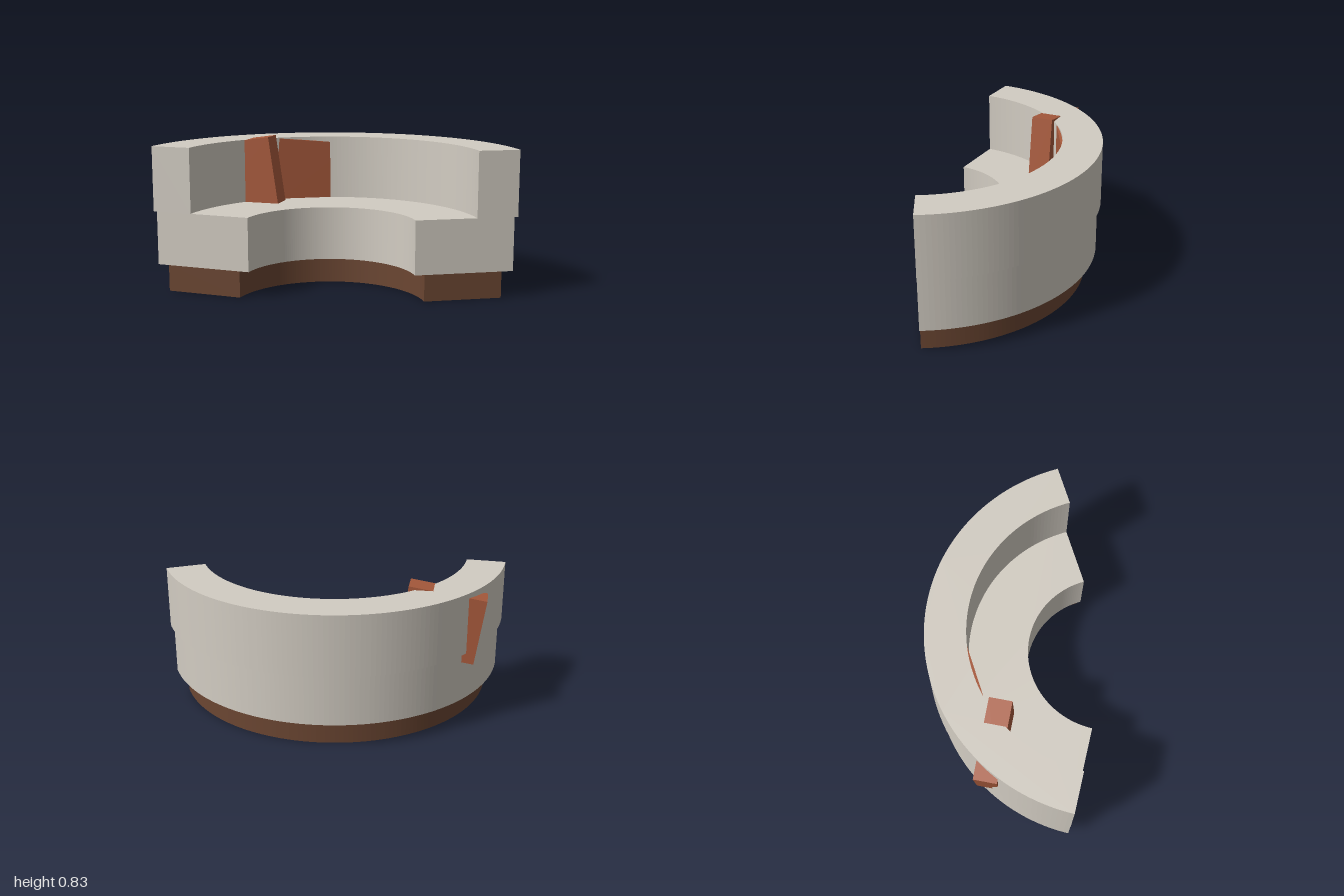
import * as THREE from 'three';

const rad = THREE.MathUtils.degToRad;
const START = rad(15), END = rad(165), CENTER_Z = 0.578;

const material = (color) => new THREE.MeshStandardMaterial({ color });

// Sector of a flat ring, opening towards the front
function arcBand(name, inner, outer, bottom, top, mat) {
  const shape = new THREE.Shape();
  shape.absarc(0, 0, outer, START, END, false);
  shape.absarc(0, 0, inner, END, START, true);
  shape.closePath();
  const geometry = new THREE.ExtrudeGeometry(shape, {
    depth: top - bottom, bevelEnabled: false, curveSegments: 48,
  });
  geometry.rotateX(-Math.PI / 2);
  const mesh = new THREE.Mesh(geometry, mat);
  mesh.name = name;
  mesh.position.set(0, bottom, CENTER_Z);
  return mesh;
}

// Slanted block hung from its upper front corner; side = direction it extends in x
function slantedBlock(name, corner, side, yaw, tilt, mat) {
  const [length, height, depth] = [0.44, 0.39, 0.127];
  const geometry = new THREE.BoxGeometry(length, height, depth);
  geometry.translate(side * length / 2, -height / 2, -depth / 2);
  const mesh = new THREE.Mesh(geometry, mat);
  mesh.name = name;
  mesh.position.set(...corner);
  mesh.rotation.set(0, rad(yaw), rad(tilt));
  return mesh;
}

export function createModel() {
  const model = new THREE.Group();
  model.name = 'curvedWall';
  const stone = material(0xd2ccc2);
  const earth = material(0x6b4632);
  const brick = material(0xa85a3c);

  // Base, wide step and raised back wall
  model.add(arcBand('base', 0.518, 0.95, 0, 0.147, earth));
  model.add(arcBand('step', 0.465, 1.015, 0.147, 0.447, stone));
  model.add(arcBand('backWall', 0.806, 1.035, 0.447, 0.81, stone));

  // Block running right through the wall, and one set into its inner face
  model.add(slantedBlock('throughBlock', [-0.4, 0.83, 0.012], -1, -12.4, 8.3, brick));
  model.add(slantedBlock('insetBlock', [-0.355, 0.805, -0.143], 1, 15.8, -5, brick));
  return model;
}
